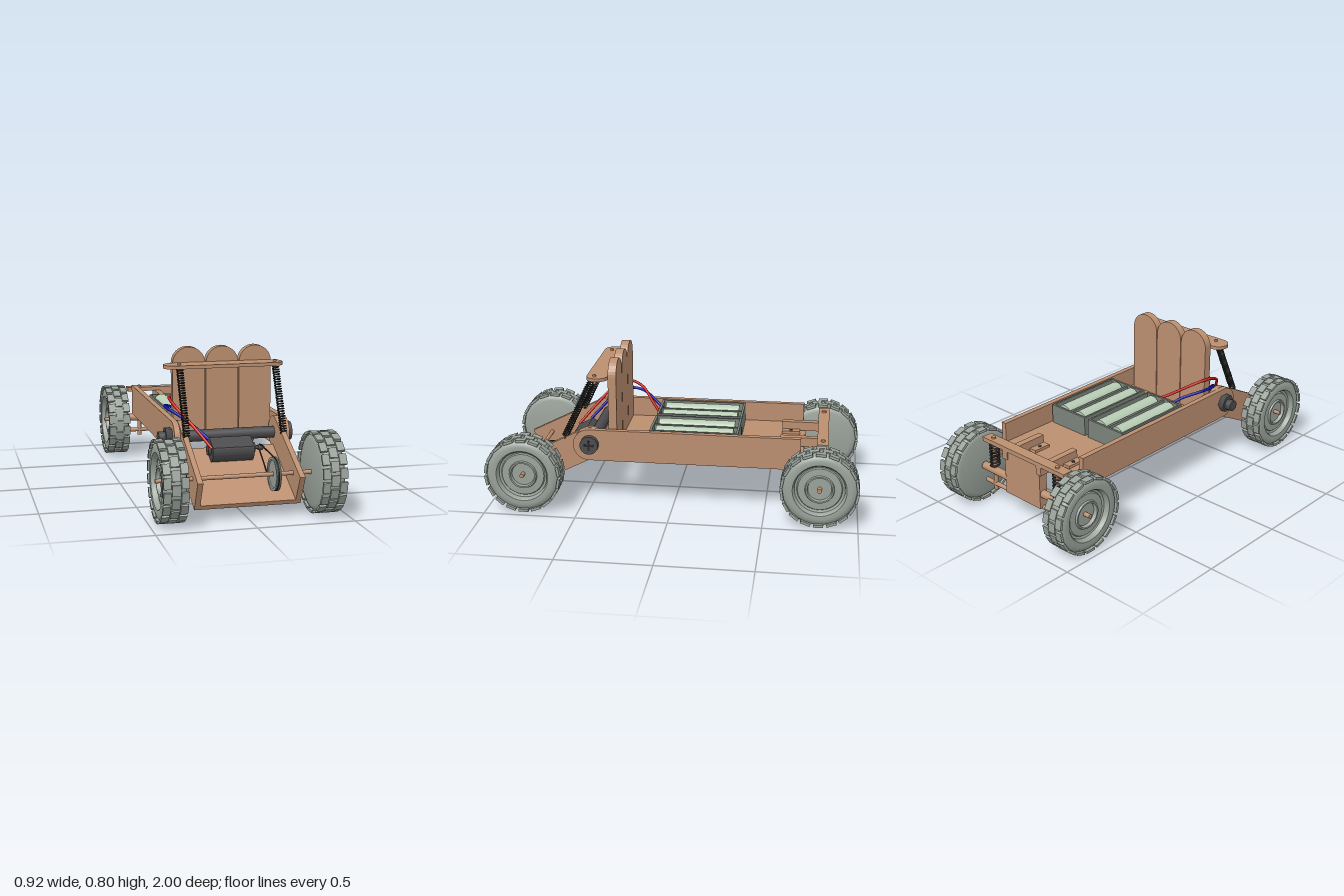
import * as THREE from 'three';
import { toCreasedNormals } from 'three/addons/utils/BufferGeometryUtils.js';

const mat = (color) => new THREE.MeshStandardMaterial({ color });
const wood = mat(0xbc8f70), rubber = mat(0x9aa39b), dark = mat(0x4c4c4e), black = mat(0x262626);
const caseGrey = mat(0x7b837b), cell = mat(0xb9cdb5), red = mat(0xcc1a10), blue = mat(0x1010b0);
const V = (x, y, z) => new THREE.Vector3(x, y, z);

function add(parent, name, geometry, material, x = 0, y = 0, z = 0) {
  const m = new THREE.Mesh(geometry, material);
  m.name = name;
  m.position.set(x, y, z);
  parent.add(m);
  return m;
}
const box = (p, name, m, w, h, d, x, y, z) => add(p, name, new THREE.BoxGeometry(w, h, d), m, x, y, z);

// Cylinder lying along x, from x0 to x1
function rodX(p, name, m, r, x0, x1, y, z, sides = 20) {
  const g = new THREE.CylinderGeometry(r, r, Math.abs(x1 - x0), sides).rotateZ(Math.PI / 2);
  return add(p, name, g, m, (x0 + x1) / 2, y, z);
}
const post = (p, name, m, r, x, y0, y1, z) =>
  add(p, name, new THREE.CylinderGeometry(r, r, y1 - y0, 14), m, x, (y0 + y1) / 2, z);

// Shape drawn in (z, y), given thickness along x and centred on it
function sideExtrude(shape, t) {
  const g = new THREE.ExtrudeGeometry(shape, { depth: t, bevelEnabled: false, curveSegments: 16 });
  return toCreasedNormals(g.translate(0, 0, -t / 2).rotateY(-Math.PI / 2), 0.6);
}

// Bar with one rounded end at the origin and a square end at z = end
function barShape(end, r, forward) {
  const s = new THREE.Shape();
  s.moveTo(end, -r);
  s.lineTo(0, -r);
  s.absarc(0, 0, r, -Math.PI / 2, Math.PI / 2, forward);
  s.lineTo(end, r);
  return s;
}

// Coil spring between two points
function spring(p, name, a, b, r, wire, turns) {
  const axis = b.clone().sub(a), n = axis.clone().normalize();
  const u = V(1, 0, 0), w = n.clone().cross(u);
  const pts = [];
  for (let i = 0; i <= turns * 10; i++) {
    const t = i / (turns * 10), ang = t * turns * Math.PI * 2;
    pts.push(a.clone().addScaledVector(axis, t)
      .addScaledVector(u, r * Math.cos(ang)).addScaledVector(w, r * Math.sin(ang)));
  }
  add(p, name, new THREE.TubeGeometry(new THREE.CatmullRomCurve3(pts), turns * 14, wire, 6), black);
}

// Wheel with a plain inner face, dished outer face and staggered tread blocks; local +y is outward
function wheel(p, name, side, z) {
  const g = new THREE.Group();
  g.name = name;
  const prof = [[0, -.058], [.165, -.06], [.185, -.054], [.196, -.042], [.2, -.02], [.2, .02], [.196, .042],
    [.185, .054], [.165, .06], [.142, .058], [.135, .05], [.132, .03], [.12, .026], [.115, .034], [.078, .036],
    [.074, .046], [.066, .046], [.062, .026], [0, .026]].map(([r, y]) => new THREE.Vector2(r, y));
  add(g, 'tire', toCreasedNormals(new THREE.LatheGeometry(prof, 40), 0.7), rubber);
  const n = 18;
  for (const [y, len, off] of [[-.044, .038, 0], [0, .042, .5], [.044, .038, 0]]) {
    for (let i = 0; i < n; i++) {
      const a = (i + off) / n * Math.PI * 2;
      const b = box(g, 'treadBlock', rubber, .014, len, .054, Math.cos(a) * .199, y, Math.sin(a) * .199);
      b.rotation.y = -a;
    }
  }
  g.rotation.z = -side * Math.PI / 2;
  g.position.set(side * .397, .208, z);
  p.add(g);
}

function chassis(car) {
  for (const s of [1, -1]) add(car, 'sideRail', sideExtrude(barShape(-1.14, .087, false), .03), wood, s * .291, .347, .455);
  box(car, 'deck', wood, .56, .025, 1.04, 0, .313, -.18);

  // Pivot pipe with bolt head on one end and nut on the other
  rodX(car, 'pivotPipe', dark, .031, -.375, .31, .35, .45);
  rodX(car, 'boltHead', dark, .05, .305, .335, .353, .45, 28);
  for (const [h, d] of [[.055, .012], [.012, .055]]) box(car, 'boltSlot', black, .004, h, d, .335, .353, .45);
  rodX(car, 'nut', dark, .05, -.34, -.305, .353, .45, 6);
}

function seat(car) {
  // Three planks with arched tops
  const s = new THREE.Shape();
  s.moveTo(-.087, 0);
  s.lineTo(.087, 0);
  s.lineTo(.087, .39);
  s.absellipse(0, .39, .087, .086, 0, Math.PI, false);
  const g = new THREE.ExtrudeGeometry(s, { depth: .045, bevelEnabled: false, curveSegments: 8 });
  for (const x of [-.188, -.009, .17]) add(car, 'seatPlank', g, wood, x, .325, .308);

  // Crossbar with round ends
  const c = new THREE.Shape();
  c.absarc(.243, 0, .057, -Math.PI / 2, Math.PI / 2, false);
  c.absarc(-.28, 0, .057, Math.PI / 2, Math.PI * 1.5, false);
  const bar = new THREE.ExtrudeGeometry(c, { depth: .018, bevelEnabled: false, curveSegments: 12 });
  add(car, 'seatCrossbar', toCreasedNormals(bar.rotateX(-Math.PI / 2), .6), wood, 0, .703, .412);
  for (const x of [-.256, .256]) {
    post(car, 'crossbarPin', wood, .009, x, .68, .731, .425);
    spring(car, 'frontSpring', V(x, .705, .438), V(x, .37, .597), .016, .004, 28);
  }
}

function frontTray(car) {
  const tray = new THREE.Group();
  tray.name = 'frontTray';
  tray.position.set(0, .35, .45);
  tray.rotation.x = .471;
  car.add(tray);
  for (const x of [-.26, .258]) add(tray, 'traySide', sideExtrude(barShape(.47, .085, true), .028), wood, x);
  box(tray, 'trayFloor', wood, .495, .025, .44, 0, -.0725, .25);

  // Motor: round can with flattened top and bottom
  const m = new THREE.Shape(), a = Math.asin(.046 / .064);
  m.absarc(0, 0, .064, -a, a, false);
  m.absarc(0, 0, .064, Math.PI - a, Math.PI + a, false);
  add(tray, 'motorCan', sideExtrude(m, .22), dark, -.01, -.013, .105);
  rodX(tray, 'motorCap', dark, .028, -.135, .115, -.013, .105);
  rodX(tray, 'motorShaft', dark, .008, .11, .168, -.013, .105);
  rodX(tray, 'motorPulley', dark, .015, .135, .16, -.013, .105);

  // Axle, driven pulley and belt
  rodX(car, 'frontAxle', wood, .011, -.462, .462, .21, .793);
  const prof = [[0, -.007], [.068, -.007], [.072, -.012], [.086, -.012], [.086, -.007], [.079, 0], [.086, .007],
    [.086, .012], [.072, .012], [.068, .007], [0, .007]].map(([r, y]) => new THREE.Vector2(r, y));
  const pulley = toCreasedNormals(new THREE.LatheGeometry(prof, 36), .5).rotateZ(-Math.PI / 2);
  add(car, 'drivePulley', pulley, rubber, .146, .21, .793);
  const small = [.537, .29], big = [.793, .21], phi = Math.atan2(small[1] - big[1], small[0] - big[0]), pts = [];
  for (const [c, r, from, to] of [[big, .082, 1.32, 4.96], [small, .017, -1.32, 1.32]]) {
    for (let i = 0; i <= 12; i++) {
      const t = phi + from + (to - from) * i / 12;
      pts.push(V(.146, c[1] + r * Math.sin(t), c[0] + r * Math.cos(t)));
    }
  }
  const loop = new THREE.CatmullRomCurve3(pts, true, 'centripetal');
  add(car, 'belt', new THREE.TubeGeometry(loop, 90, .004, 6, true), black);
}

function batteries(car) {
  for (const x of [-.135, .14]) {
    const g = new THREE.Group();
    g.name = 'batteryCase';
    g.position.set(x, .325, -.11);
    car.add(g);
    box(g, 'caseFloor', caseGrey, .25, .02, .48, 0, .01, 0);
    for (const s of [-1, 1]) {
      box(g, 'caseSide', caseGrey, .01, .108, .48, s * .12, .054, 0);
      box(g, 'caseEnd', caseGrey, .25, .108, .012, 0, .054, s * .234);
      const c = new THREE.CylinderGeometry(.049, .049, .42, 24).rotateX(Math.PI / 2);
      add(g, 'battery', c, cell, s * .06, .064, 0);
      const t = new THREE.CylinderGeometry(.018, .018, .45, 14).rotateX(Math.PI / 2);
      add(g, 'batteryTerminal', t, cell, s * .06, .064, 0);
    }
    box(g, 'caseDivider', caseGrey, .014, .1, .46, 0, .05, 0);
  }
}

function wires(car) {
  const runs = [
    ['redWire', red, [[-.08, .41, .12], [-.15, .45, .17], [-.25, .515, .25], [-.29, .532, .33], [-.27, .495, .42],
      [-.2, .41, .51], [-.125, .31, .6]]],
    ['blueWire', blue, [[-.18, .41, .12], [-.23, .45, .18], [-.295, .48, .26], [-.305, .482, .34], [-.25, .45, .42],
      [-.18, .395, .48], [-.125, .345, .53]]],
  ];
  for (const [name, m, pts] of runs) {
    const curve = new THREE.CatmullRomCurve3(pts.map((p) => V(...p)));
    add(car, name, new THREE.TubeGeometry(curve, 50, .008, 10), m);
  }
}

function rearSuspension(car) {
  const z = -.8;
  // Crossbar carried on two deck brackets
  box(car, 'rearCrossbar', wood, .61, .024, .06, -.01, .392, z);
  for (const x of [-.13, .123]) {
    box(car, 'bracketPlate', wood, .12, .016, .1, x, .333, -.62);
    box(car, 'bracketArm', wood, .036, .05, .26, x, .358, -.70);
    for (const s of [-1, 1]) post(car, 'bracketScrew', dark, .009, x + s * .04, .34, .346, -.62);
  }
  box(car, 'transom', wood, .26, .25, .05, 0, .257, z);

  // Kingpin, spring, arms and stub axle on each side
  for (const s of [1, -1]) {
    const x = s * .24;
    box(car, 'deckLug', wood, .034, .025, .09, x, .313, -.735);
    post(car, 'kingpin', wood, .012, x, .1, .413, z);
    spring(car, 'rearSpring', V(x, .24, z), V(x, .38, z), .024, .0055, 7);
    rodX(car, 'upperArm', wood, .022, s * .12, s * .325, .212, z);
    rodX(car, 'lowerArm', wood, .012, s * .12, s * .31, .133, z);
    rodX(car, 'rearAxle', wood, .012, s * .3, s * .46, .208, -.793);
  }
}

export function createModel() {
  const car = new THREE.Group();
  car.name = 'woodenCar';
  chassis(car);
  seat(car);
  frontTray(car);
  batteries(car);
  wires(car);
  rearSuspension(car);
  for (const s of [1, -1]) {
    wheel(car, 'frontWheel', s, .793);
    wheel(car, 'rearWheel', s, -.793);
  }
  return car;
}
